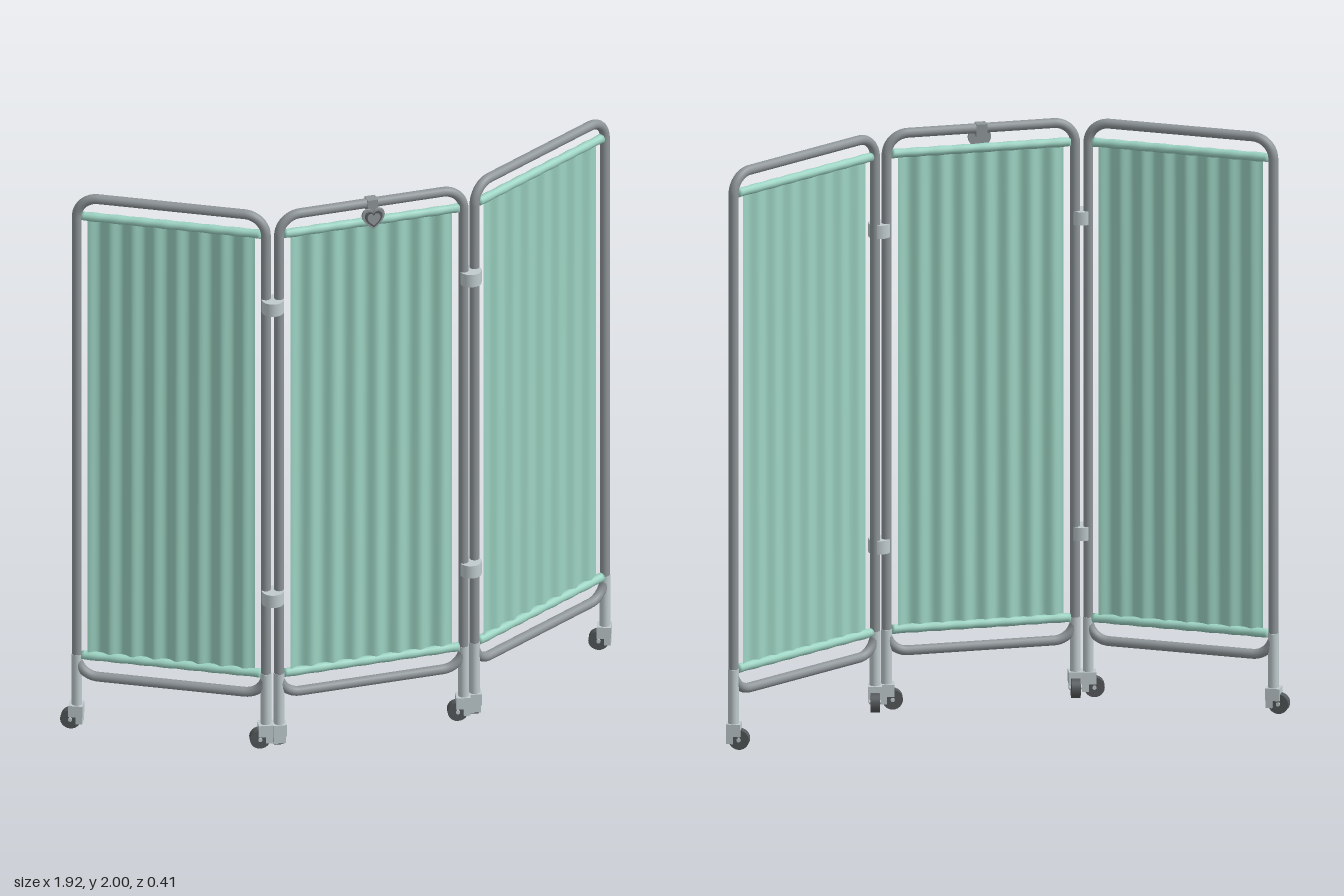
import * as THREE from 'three';

const mat = (name, color, side = THREE.FrontSide) => {
  const m = new THREE.MeshStandardMaterial({ color, side });
  m.name = name;
  return m;
};

export function createModel() {
  const steel = mat('frame steel', 0x8f9699);
  const silver = mat('light metal', 0xc0cbce);
  const rubber = mat('wheel rubber', 0x55595b);
  const cloth = mat('green cloth', 0x9dd4c3, THREE.DoubleSide);

  const root = new THREE.Group();
  root.name = 'foldingScreen';

  const add = (parent, name, geo, material, x = 0, y = 0, z = 0) => {
    const m = new THREE.Mesh(geo, material);
    m.name = name;
    m.position.set(x, y, z);
    parent.add(m);
    return m;
  };

  const HALF = 0.32, TUBE = 0.0165, CORNER = 0.072;
  const TOP = 1.9835, BOTTOM = 0.196, ROD_TOP = 1.915, ROD_LOW = 0.272;
  const PLEATS = 7.5;

  // Rounded rectangular tube frame
  function addFrame(panel) {
    const h = TOP - BOTTOM - 2 * CORNER, w = 2 * (HALF - CORNER), mid = (TOP + BOTTOM) / 2;
    for (const s of [-1, 1]) {
      add(panel, 'framePost', new THREE.CylinderGeometry(TUBE, TUBE, h, 16, 1, true), steel, s * HALF, mid, 0);
      const rail = new THREE.CylinderGeometry(TUBE, TUBE, w, 16, 1, true).rotateZ(Math.PI / 2);
      add(panel, s > 0 ? 'topRail' : 'bottomRail', rail, steel, 0, s > 0 ? TOP : BOTTOM, 0);
    }
    [[1, 1], [-1, 1], [-1, -1], [1, -1]].forEach(([sx, sy], i) => {
      const bend = new THREE.TorusGeometry(CORNER, TUBE, 16, 12, Math.PI / 2).rotateZ(i * Math.PI / 2);
      add(panel, 'frameBend', bend, steel, sx * (HALF - CORNER), sy > 0 ? TOP - CORNER : BOTTOM + CORNER, 0);
    });
    // Lower leg sleeves
    for (const s of [-1, 1])
      add(panel, 'lowerLeg', new THREE.CylinderGeometry(0.018, 0.018, 0.2, 16), silver, s * HALF, 0.175, 0);
  }

  // Pleated curtain with gathered sleeves around its rods
  function addCurtain(panel) {
    const width = 0.565;
    const sheet = new THREE.PlaneGeometry(width, ROD_TOP - ROD_LOW, PLEATS * 12, 1);
    const p = sheet.attributes.position;
    for (let i = 0; i < p.count; i++)
      p.setZ(i, 0.0065 * Math.sin((p.getX(i) / width) * PLEATS * 2 * Math.PI));
    sheet.computeVertexNormals();
    add(panel, 'curtain', sheet, cloth, 0, (ROD_TOP + ROD_LOW) / 2, 0);

    const len = 2 * (HALF - TUBE), steps = PLEATS * 8, profile = [new THREE.Vector2(0, -len / 2)];
    for (let i = 0; i <= steps; i++) {
      const r = 0.0152 + 0.0008 * Math.cos((i / steps) * PLEATS * 2 * Math.PI);
      profile.push(new THREE.Vector2(r, (i / steps - 0.5) * len));
    }
    profile.push(new THREE.Vector2(0, len / 2));
    for (const y of [ROD_TOP, ROD_LOW])
      add(panel, 'curtainSleeve', new THREE.LatheGeometry(profile, 14).rotateZ(Math.PI / 2), cloth, 0, y, 0);
  }

  const panels = [
    ['leftPanel', 0.65, -0.003, Math.PI / 6],
    ['centrePanel', 0.011, 0.169, 0],
    ['rightPanel', -0.628, -0.003, -Math.PI / 6],
  ];
  for (const [name, x, z, turn] of panels) {
    const panel = new THREE.Group();
    panel.name = name;
    panel.position.set(x, 0, z);
    panel.rotation.y = turn;
    addFrame(panel);
    addCurtain(panel);
    root.add(panel);
  }

  // Hinge clamps joining neighbouring posts
  for (const x of [-0.332, 0.354])
    for (const y of [0.565, 1.655])
      add(root, 'hingeClamp', new THREE.CylinderGeometry(0.037, 0.037, 0.046, 24), silver, x, y, 0.174);

  // Swivel casters: position and trailing direction
  function addCaster(x, z, dx, dz) {
    const c = new THREE.Group();
    c.name = 'caster';
    c.position.set(x, 0, z);
    c.rotation.y = Math.atan2(-dz, dx);
    add(c, 'casterHood', new THREE.BoxGeometry(0.048, 0.042, 0.046), silver, 0.002, 0.067, 0);
    add(c, 'casterFork', new THREE.BoxGeometry(0.022, 0.028, 0.04), silver, -0.01, 0.034, 0);
    const wheel = new THREE.CylinderGeometry(0.034, 0.034, 0.03, 24).rotateX(Math.PI / 2);
    add(c, 'casterWheel', wheel, rubber, 0.02, 0.034, 0);
    const axle = new THREE.CylinderGeometry(0.007, 0.007, 0.04, 12).rotateX(Math.PI / 2);
    add(c, 'casterAxle', axle, silver, 0.02, 0.034, 0);
    root.add(c);
  }
  [
    [-0.905, -0.163, -0.9, -0.45], [-0.351, 0.157, -1, -0.2], [-0.309, 0.169, 0.15, -1],
    [0.331, 0.169, -1, -0.2], [0.373, 0.157, 0.2, -1], [0.927, -0.163, -1, -0.4],
  ].forEach((a) => addCaster(...a));

  // Heart ornament clipped over the centre rail
  function heart(s, depth) {
    const h = new THREE.Shape();
    h.moveTo(0, -s);
    h.bezierCurveTo(-0.45 * s, -0.65 * s, -s, -0.2 * s, -s, 0.35 * s);
    h.bezierCurveTo(-s, 1.05 * s, -0.15 * s, 1.1 * s, 0, 0.55 * s);
    h.bezierCurveTo(0.15 * s, 1.1 * s, s, 1.05 * s, s, 0.35 * s);
    h.bezierCurveTo(s, -0.2 * s, 0.45 * s, -0.65 * s, 0, -s);
    return new THREE.ExtrudeGeometry(h, { depth, bevelEnabled: false, curveSegments: 10 });
  }
  const ornament = new THREE.Group();
  ornament.name = 'heartOrnament';
  ornament.position.set(0.011, 1.935, 0.186);
  add(ornament, 'heartPlate', heart(0.039, 0.008), steel);
  add(ornament, 'heartInlay', heart(0.03, 0.003), rubber, 0, 0, 0.008);
  add(ornament, 'heartFace', heart(0.022, 0.003), steel, 0, 0, 0.011);
  add(ornament, 'railClip', new THREE.BoxGeometry(0.036, 0.044, 0.036), steel, 0, 0.0435, -0.017);
  root.add(ornament);

  return root;
}
